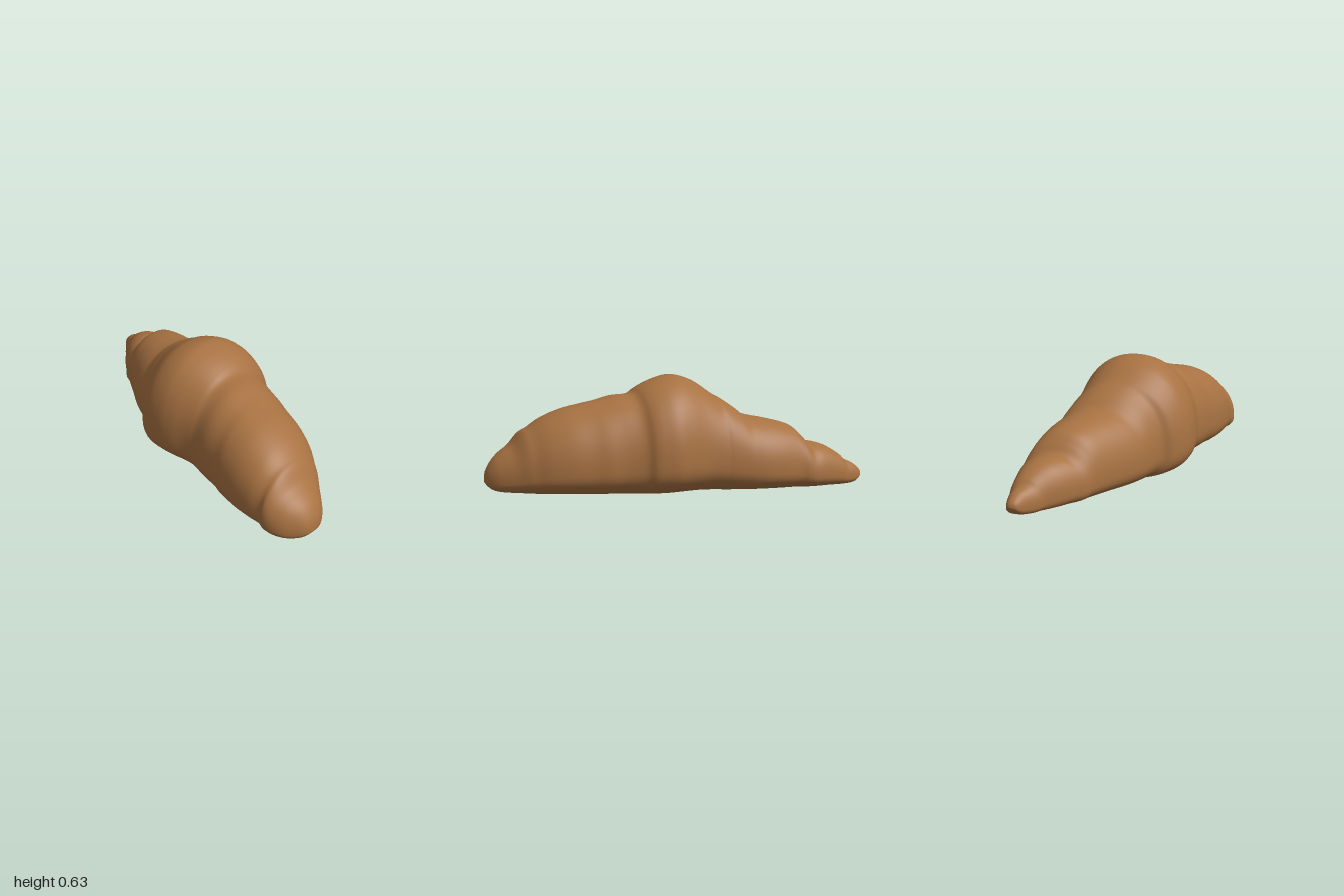
import * as THREE from 'three';

// Sections along the roll: [z, left edge x, right edge x, crest height]
const SECTIONS = [
  [-1, 0.3, 0.3, 0.075], [-0.99, 0.27, 0.325, 0.1], [-0.95, 0.235, 0.342, 0.135], [-0.9, 0.19, 0.352, 0.16],
  [-0.87, 0.17, 0.36, 0.19], [-0.8, 0.105, 0.37, 0.235], [-0.74, 0.06, 0.38, 0.255], [-0.69, 0.02, 0.383, 0.263],
  [-0.65, 0, 0.38, 0.31], [-0.6, -0.03, 0.37, 0.355], [-0.5, -0.09, 0.373, 0.385], [-0.41, -0.145, 0.367, 0.403],
  [-0.35, -0.175, 0.355, 0.42], [-0.3, -0.198, 0.343, 0.46], [-0.23, -0.23, 0.327, 0.51], [-0.19, -0.285, 0.318, 0.535],
  [-0.1, -0.335, 0.31, 0.6], [0, -0.345, 0.325, 0.631], [0.08, -0.335, 0.335, 0.62], [0.15, -0.317, 0.32, 0.595],
  [0.2, -0.31, 0.3, 0.567], [0.245, -0.312, 0.262, 0.535], [0.33, -0.332, 0.23, 0.525], [0.42, -0.345, 0.21, 0.5],
  [0.49, -0.366, 0.187, 0.483], [0.6, -0.381, 0.155, 0.455], [0.7, -0.381, 0.11, 0.41], [0.77, -0.373, 0.062, 0.36],
  [0.81, -0.385, 0.035, 0.333], [0.86, -0.376, -0.007, 0.27], [0.91, -0.35, -0.05, 0.232], [0.955, -0.305, -0.095, 0.19],
  [0.988, -0.26, -0.15, 0.135], [1, -0.21, -0.21, 0.075],
];

const RINGS = 200;
const SIDES = 72;

// Rounded power used for the squarish cross-section
const roundPow = (v, n) => Math.sign(v) * Math.pow(Math.abs(v), 2 / n);

function createRoll() {
  const edges = new THREE.CatmullRomCurve3(
    SECTIONS.map(([z, l, r]) => new THREE.Vector3(l, r, z)), false, 'catmullrom', 0.5);
  const crest = new THREE.CatmullRomCurve3(
    SECTIONS.map(([z, , , h]) => new THREE.Vector3(0, h, z)), false, 'catmullrom', 0.5);
  const positions = [];
  const index = [];

  for (let i = 0; i <= RINGS; i++) {
    const e = edges.getPoint(i / RINGS);
    const top = crest.getPoint(i / RINGS).y;
    const z = e.z;
    // Flat base that lifts slightly toward the two tips
    const base = Math.min(top, 0.004 + 0.018 * z * z + 0.053 * Math.pow(Math.abs(z), 40));
    const middle = base + (top - base) * 0.32;
    const cx = (e.x + e.y) / 2;
    const rx = Math.max(0, (e.y - e.x) / 2);
    for (let j = 0; j < SIDES; j++) {
      const a = (j / SIDES) * Math.PI * 2;
      const upper = Math.sin(a) >= 0;
      const n = upper ? 2.15 : 2.8;
      const ry = upper ? top - middle : middle - base;
      positions.push(cx + rx * roundPow(Math.cos(a), n), middle + ry * roundPow(Math.sin(a), n), z);
    }
  }

  for (let i = 0; i < RINGS; i++) {
    for (let j = 0; j < SIDES; j++) {
      const k = (j + 1) % SIDES;
      const a = i * SIDES + j, b = i * SIDES + k;
      const c = a + SIDES, d = b + SIDES;
      index.push(a, b, c, b, d, c);
    }
  }

  const geometry = new THREE.BufferGeometry();
  geometry.setAttribute('position', new THREE.Float32BufferAttribute(positions, 3));
  geometry.setIndex(index);
  geometry.computeVertexNormals();
  return geometry;
}

export function createModel() {
  const group = new THREE.Group();
  group.name = 'croissant';
  const crust = new THREE.MeshStandardMaterial({ color: 0xa87242 });
  crust.name = 'golden brown crust';

  // Rolled pastry body, with its folds stepping along the length
  const body = new THREE.Mesh(createRoll(), crust);
  body.name = 'pastryRoll';
  group.add(body);
  return group;
}
